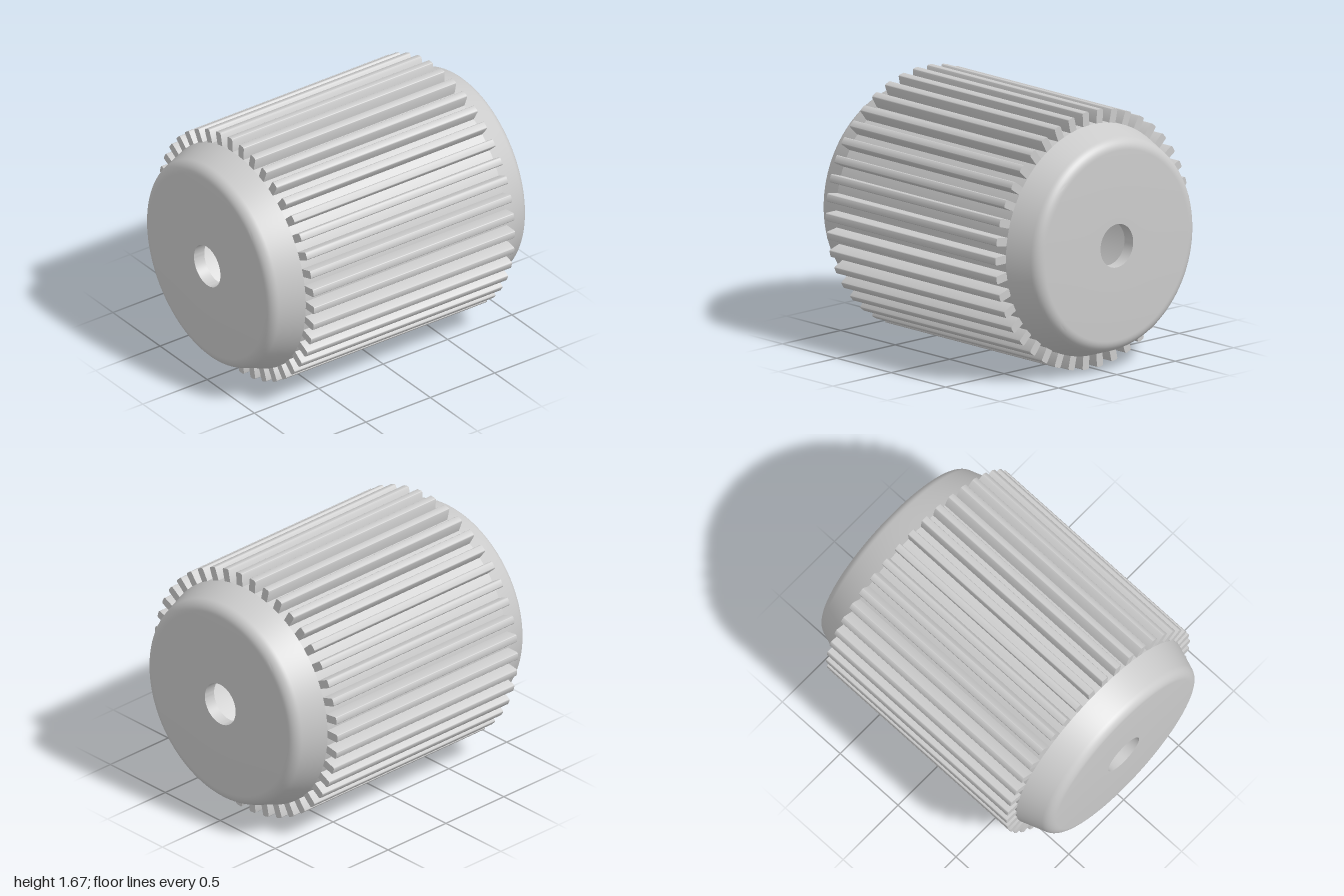
import * as THREE from 'three';
import { toCreasedNormals } from 'three/addons/utils/BufferGeometryUtils.js';

const TEETH = 42, TIP = 0.834, DRUM = 0.745, HALF = 0.78, BORE = 0.14, WALL = 0.08;
const CENTER_Y = 0.833;

// Right half of the outer wall: drum edge, cone, rounded shoulder, flat end
function outerHalf() {
  const slope = THREE.MathUtils.degToRad(19);      // cone angle against the axis
  const fillet = 0.08;
  const corner = DRUM - (1 - HALF) * Math.tan(slope);
  const flat = corner - fillet * Math.tan((Math.PI / 2 - slope) / 2);
  const pts = [new THREE.Vector2(DRUM, HALF)];
  for (let i = 0; i <= 8; i++) {
    const a = slope + (Math.PI / 2 - slope) * (i / 8);
    pts.push(new THREE.Vector2(flat + fillet * Math.cos(a), 1 - fillet + fillet * Math.sin(a)));
  }
  return pts;
}

const flip = (pts) => pts.map((p) => new THREE.Vector2(p.x, -p.y)).reverse();

export function createModel() {
  const group = new THREE.Group();
  group.name = 'toothedRoller';
  const material = new THREE.MeshStandardMaterial({ color: 0xcccccc });

  // Hollow drum: closed profile of outer wall, bores and inner cavity
  const outer = [...outerHalf(), new THREE.Vector2(BORE, 1)];
  const inner = [
    new THREE.Vector2(BORE, 1 - WALL),
    new THREE.Vector2(0.61, 1 - WALL),
    new THREE.Vector2(DRUM - WALL, HALF - 0.02),
  ];
  const profile = [...flip(outer), ...outer, ...inner, ...flip(inner), new THREE.Vector2(BORE, -1)];
  const drumGeometry = toCreasedNormals(new THREE.LatheGeometry(profile, 96), 0.3);
  drumGeometry.rotateZ(-Math.PI / 2);
  const drum = new THREE.Mesh(drumGeometry, material);
  drum.name = 'drum';
  group.add(drum);

  // One tooth bar with softened outer corners, lying along x
  const w = 0.0265, r = 0.012, root = DRUM - 0.012;
  const section = new THREE.Shape();
  section.moveTo(root, -w);
  section.lineTo(TIP - r, -w);
  section.absarc(TIP - r, -w + r, r, -Math.PI / 2, 0, false);
  section.absarc(TIP - r, w - r, r, 0, Math.PI / 2, false);
  section.lineTo(root, w);
  section.closePath();
  const bar = new THREE.ExtrudeGeometry(section, { depth: 2 * HALF, bevelEnabled: false, curveSegments: 4 });
  bar.translate(0, 0, -HALF);
  bar.rotateY(Math.PI / 2);
  const toothGeometry = toCreasedNormals(bar, 0.6);

  // Ring of teeth around the drum
  const teeth = new THREE.Group();
  teeth.name = 'teeth';
  for (let i = 0; i < TEETH; i++) {
    const tooth = new THREE.Mesh(toothGeometry, material);
    tooth.name = 'tooth';
    tooth.rotation.x = (i / TEETH) * Math.PI * 2;
    teeth.add(tooth);
  }
  group.add(teeth);

  for (const part of group.children) part.position.y = CENTER_Y;
  return group;
}
